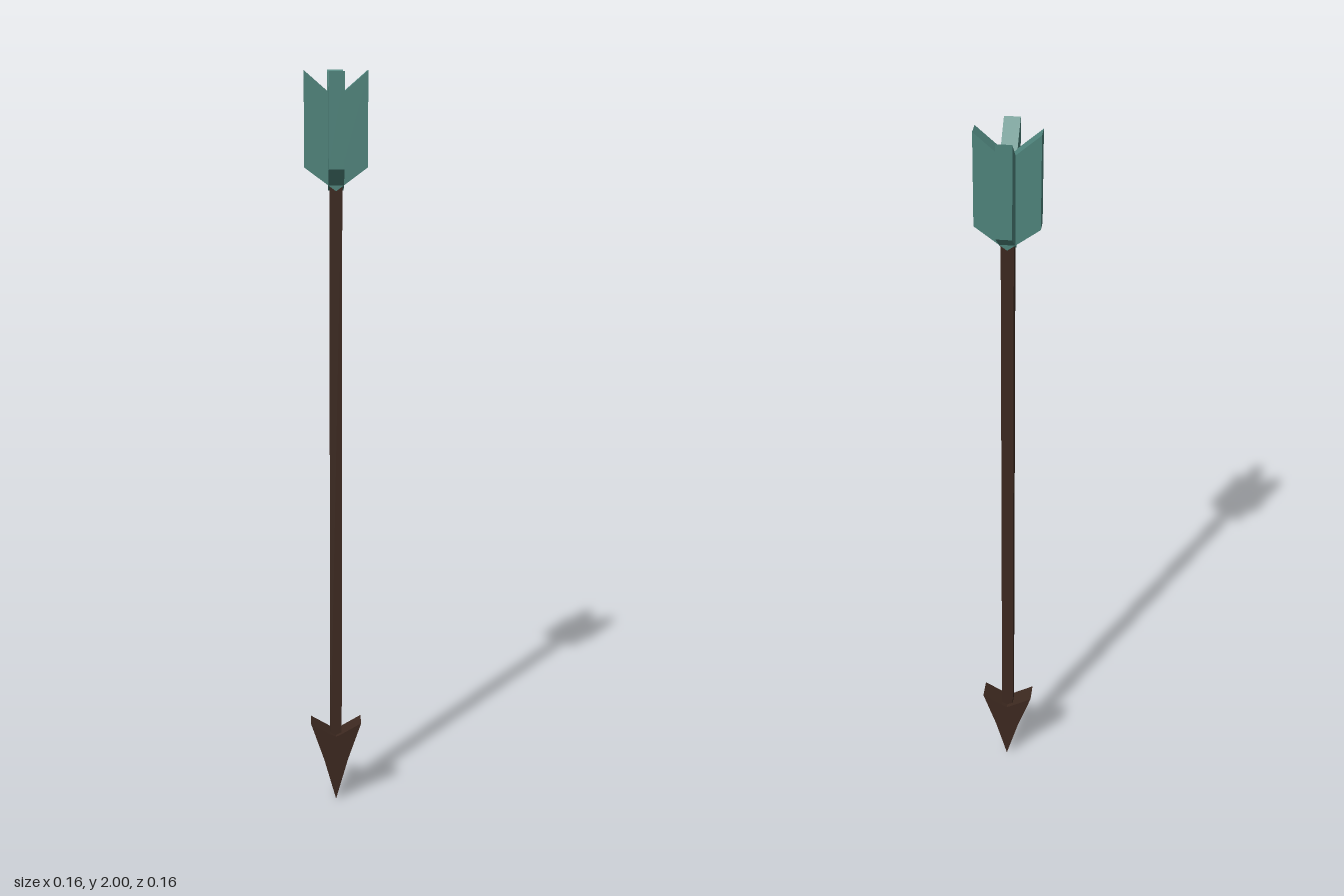
import * as THREE from 'three';

const wood = new THREE.MeshStandardMaterial({ color: 0x3d2920, flatShading: true });
const feather = new THREE.MeshStandardMaterial({ color: 0x4f857d, flatShading: true });

// Plate of constant thickness from the right half of a symmetric outline (bottom to top)
function plate(half, depth) {
  const mirrored = half.filter(([x]) => x > 0).reverse().map(([x, y]) => [-x, y]);
  const shape = new THREE.Shape([...half, ...mirrored].map(([x, y]) => new THREE.Vector2(x, y)));
  return new THREE.ExtrudeGeometry(shape, { depth, bevelEnabled: false }).translate(0, 0, -depth / 2);
}

export function createModel() {
  const arrow = new THREE.Group();
  arrow.name = 'arrow';
  const add = (name, geometry, material) => {
    const mesh = new THREE.Mesh(geometry, material);
    mesh.name = name;
    arrow.add(mesh);
    return mesh;
  };

  // Square shaft, from inside the head to inside the fletching
  add('shaft', new THREE.BoxGeometry(0.032, 1.7, 0.032).translate(0, 0.98, 0), wood);

  // Barbed head pointing down
  add('head', plate([[0, 0], [0.033, 0.12], [0.07, 0.23], [0.016, 0.198], [0, 0.19]], 0.056), wood);

  // Two crossed, V-notched fletching plates
  const fin = plate([[0, 1.7], [0.081, 1.76], [0.081, 2], [0, 1.93]], 0.04);
  ['fletchingSide', 'fletchingFront'].forEach((name, i) => {
    add(name, fin, feather).rotation.y = i * Math.PI / 2;
  });

  return arrow;
}
